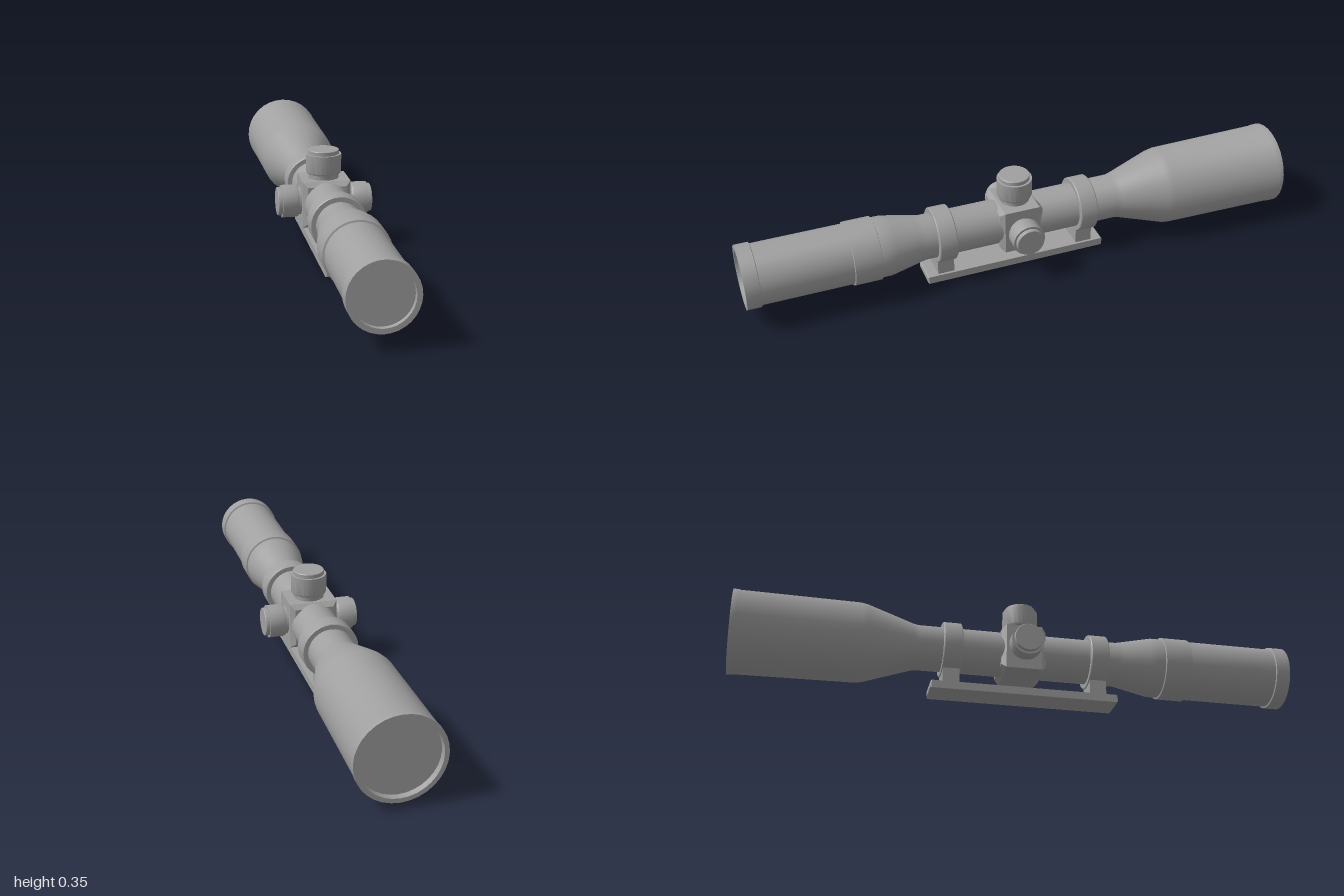
import * as THREE from 'three';
import { toCreasedNormals } from 'three/addons/utils/BufferGeometryUtils.js';

const AXIS = 0.17;     // height of the optical axis
const TURRET_Z = 0.016;

export function createModel() {
  const model = new THREE.Group();
  model.name = 'rifleScope';
  const metal = new THREE.MeshStandardMaterial({ color: 0xa0a0a0 });
  metal.name = 'grey metal';

  const add = (name, geometry, parent = model) => {
    const mesh = new THREE.Mesh(geometry, metal);
    mesh.name = name;
    parent.add(mesh);
    return mesh;
  };
  const lathe = (profile, sides) => toCreasedNormals(
    new THREE.LatheGeometry(profile.map(([r, y]) => new THREE.Vector2(r, y)), sides), 0.5);

  // box with chamfered edges, centred on the origin
  const chamferBox = (w, h, d, c) => {
    const x = w / 2 - c, y = h / 2 - c;
    const s = new THREE.Shape([[-x, -y], [x, -y], [x, y], [-x, y]].map(p => new THREE.Vector2(...p)));
    const g = new THREE.ExtrudeGeometry(s, {
      depth: d - 2 * c, bevelEnabled: true, bevelThickness: c, bevelSize: c, bevelSegments: 1,
    });
    return g.translate(0, 0, c - d / 2);
  };

  // main tube: objective bell at the back, eyepiece at the front, recessed lens at each end
  const body = add('scopeTube', lathe([
    [0.131, -0.98], [0.133, -1], [0.148, -1], [0.148, -0.98], [0.146, -0.975],
    [0.141, -0.56], [0.136, -0.535], [0.084, -0.375], [0.08, -0.355],
    [0.08, 0.365], [0.084, 0.385], [0.103, 0.475], [0.107, 0.495], [0.107, 0.53],
    [0.113, 0.532], [0.113, 0.628], [0.107, 0.63], [0.107, 0.948],
    [0.113, 0.95], [0.113, 1], [0.096, 1], [0.095, 0.985],
  ], 32));
  body.rotation.x = Math.PI / 2;
  body.position.y = AXIS;

  // lenses
  const front = add('eyepieceLens', new THREE.CircleGeometry(0.096, 32));
  front.position.set(0, AXIS, 0.985);
  const back = add('objectiveLens', new THREE.CircleGeometry(0.132, 32));
  back.position.set(0, AXIS, -0.98);
  back.rotation.y = Math.PI;

  // turret housing
  add('turretHousing', chamferBox(0.17, 0.166, 0.16, 0.016)).position.set(0, AXIS, TURRET_Z);

  // adjustment knobs, each with a neck, a cap and a stepped end
  const knob = (name, r, start, end) => {
    const step = end - 0.015;
    return add(name, lathe([
      [r * 0.85, 0.06], [r * 0.85, start], [r * 0.95, start], [r, start + 0.006],
      [r, step], [r * 0.87, step], [r * 0.87, end - 0.002], [r * 0.84, end], [0, end],
    ], 24));
  };
  knob('elevationKnob', 0.063, 0.1, 0.185).position.set(0, AXIS, TURRET_Z);
  for (const side of [1, -1]) {
    const k = knob(side > 0 ? 'leftKnob' : 'rightKnob', 0.058, 0.095, 0.168);
    k.rotation.z = -side * Math.PI / 2;
    k.position.set(0, AXIS, TURRET_Z);
  }

  // mounting rings with their feet
  for (const [name, z] of [['frontMount', 0.291], ['rearMount', -0.237]]) {
    const mount = new THREE.Group();
    mount.name = name;
    mount.position.z = z;
    model.add(mount);
    const ring = add('ring', lathe([
      [0.078, -0.033], [0.096, -0.033], [0.099, -0.03], [0.099, 0.03], [0.096, 0.033], [0.078, 0.033],
    ], 32), mount);
    ring.rotation.x = Math.PI / 2;
    ring.position.y = AXIS;
    add('foot', new THREE.BoxGeometry(0.09, 0.075, 0.06), mount).position.y = 0.0605;
  }

  // base rail
  add('baseRail', chamferBox(0.108, 0.028, 0.67, 0.004)).position.set(0, 0.014, 0.026);

  return model;
}
